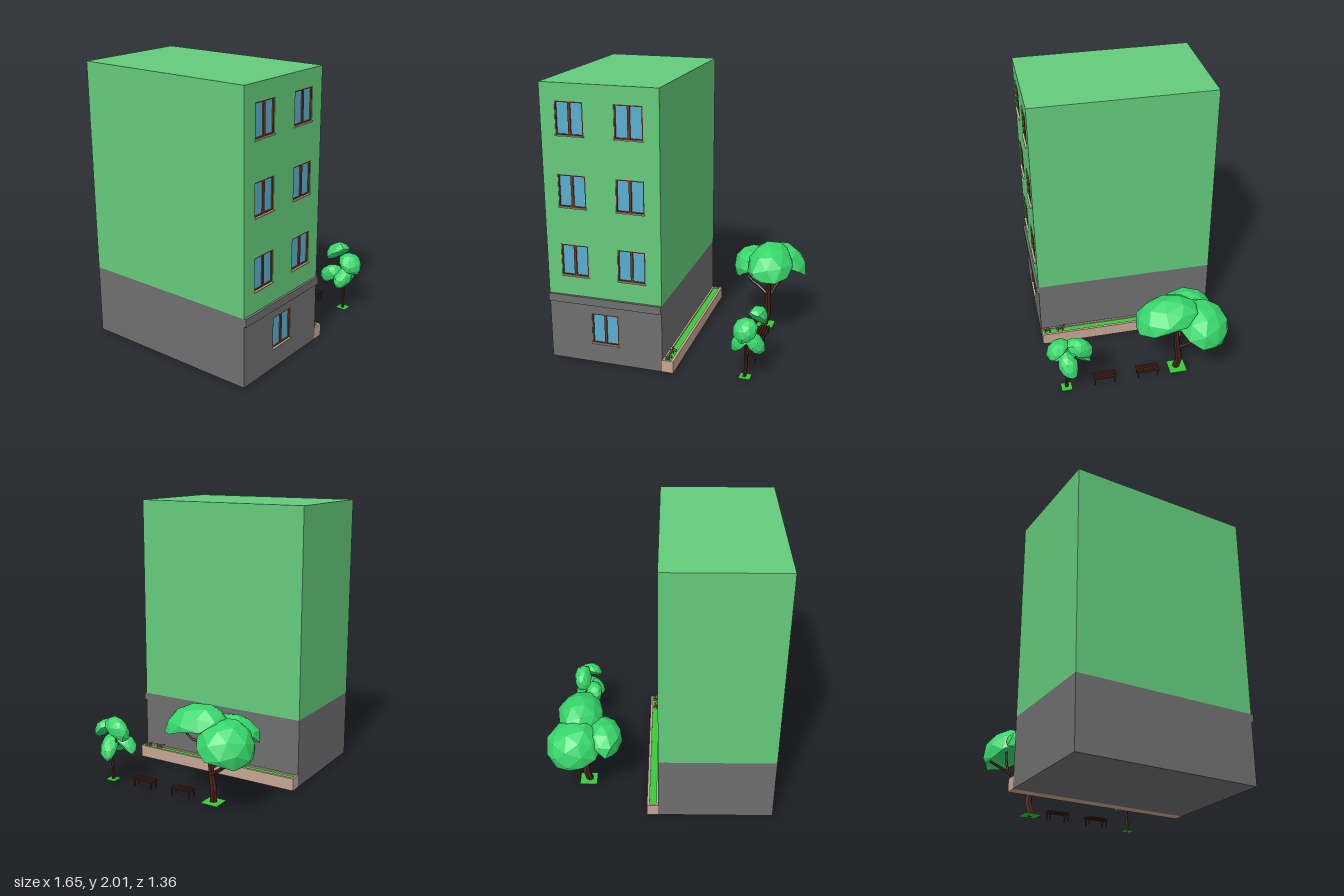
import * as THREE from 'three';

const mat = (color, flat = false) =>
  new THREE.MeshStandardMaterial({ color, flatShading: flat, side: THREE.DoubleSide });
const M = {
  wall: mat(0x64cb7b), base: mat(0x6f6f6f), glass: mat(0x58aed0), frame: mat(0x7a3417),
  sill: mat(0xc9b49a), stone: mat(0xc8a593), grass: mat(0x36cc36), bark: mat(0x4a241b, true),
  leaf: mat(0x37d76b, true), red: mat(0xd02a3a, true), yellow: mat(0xe0b030, true), blue: mat(0x4050d0, true),
  stem: mat(0x2f7a35, true),
};

function add(parent, name, geo, material, x = 0, y = 0, z = 0) {
  const m = new THREE.Mesh(geo, material);
  m.name = name;
  m.position.set(x, y, z);
  parent.add(m);
  return m;
}
// Box given by its min and max corners
function box(parent, name, material, a, b) {
  return add(parent, name, new THREE.BoxGeometry(b[0] - a[0], b[1] - a[1], b[2] - a[2]), material,
    (a[0] + b[0]) / 2, (a[1] + b[1]) / 2, (a[2] + b[2]) / 2);
}
function rect(path, x0, y0, x1, y1) {
  path.moveTo(x0, y0); path.lineTo(x1, y0); path.lineTo(x1, y1); path.lineTo(x0, y1); path.closePath();
  return path;
}

const L = -0.835, R = 0, BACK = -0.685, FRONT = 0.645, DEPTH = 0.02;
const WIN_W = 0.2, WIN_H = 0.23;

// Front wall with window openings
function facade(parent, name, material, y0, y1, windows) {
  const shape = rect(new THREE.Shape(), L, y0, R, y1);
  for (const [x, y] of windows) shape.holes.push(rect(new THREE.Path(), x, y, x + WIN_W, y + WIN_H));
  add(parent, name, new THREE.ExtrudeGeometry(shape, { depth: DEPTH, bevelEnabled: false }), material, 0, 0, FRONT - DEPTH);
}

function makeWindow(x, y) {
  const g = new THREE.Group();
  g.name = 'window';
  const t = 0.009, z0 = FRONT - DEPTH, z1 = FRONT - 0.004, mid = WIN_W / 2;
  box(g, 'glass', M.glass, [0, 0, z0], [WIN_W, WIN_H, z0 + 0.007]);
  for (const [a, b] of [[0, t], [mid - t, mid + t], [WIN_W - t, WIN_W]])
    box(g, 'frameUpright', M.frame, [a, 0, z0], [b, WIN_H, z1]);
  for (const a of [0, WIN_H - t]) box(g, 'frameRail', M.frame, [0, a, z0], [WIN_W, a + t, z1]);
  box(g, 'sill', M.sill, [-0.003, -0.006, z0], [WIN_W + 0.003, 0.002, FRONT + 0.01]);
  g.position.set(x, y, 0);
  return g;
}

// Tapered limb through points
function limb(parent, name, points, r0, r1) {
  const curve = new THREE.CatmullRomCurve3(points.map(p => new THREE.Vector3(...p)));
  const seg = 6, sides = 6;
  const geo = new THREE.TubeGeometry(curve, seg, 1, sides);
  const p = geo.attributes.position, v = new THREE.Vector3();
  for (let i = 0; i < p.count; i++) {
    const t = Math.floor(i / (sides + 1)) / seg;
    const c = curve.getPointAt(t);
    v.fromBufferAttribute(p, i).sub(c).multiplyScalar(r0 + (r1 - r0) * t).add(c);
    p.setXYZ(i, v.x, v.y, v.z);
  }
  add(parent, name, geo, M.bark);
}

// Faceted leaf canopy with its underside pushed up
function canopy(parent, centre, size, rot, under) {
  const geo = new THREE.IcosahedronGeometry(1, 1);
  geo.rotateY(centre[0] * 9);
  const p = geo.attributes.position;
  for (let i = 0; i < p.count; i++) {
    const x = p.getX(i), y = p.getY(i), z = p.getZ(i);
    const k = 1 + 0.05 * Math.sin(5 * x + 3 * z + centre[2] * 20);
    p.setXYZ(i, x * k, (y < 0 ? y * under : y) - 0.4, z * k);
  }
  geo.scale(...size);
  geo.computeVertexNormals();
  add(parent, 'canopy', geo, M.leaf, ...centre).rotation.set(...rot);
}

function group(parent, name) {
  const g = new THREE.Group();
  g.name = name;
  parent.add(g);
  return g;
}

export function createModel() {
  const model = new THREE.Group();
  model.name = 'buildingWithGarden';

  // Building
  const house = group(model, 'building');
  const low = [[-0.518, 0.15]], high = [];
  for (const y of [0.65, 1.15, 1.65]) for (const x of [-0.728, -0.312]) high.push([x, y]);
  box(house, 'groundFloor', M.base, [L, 0, BACK], [R, 0.5, FRONT - DEPTH]);
  box(house, 'upperFloors', M.wall, [L, 0.5, BACK], [R, 2, FRONT - DEPTH]);
  facade(house, 'groundFacade', M.base, 0, 0.5, low);
  facade(house, 'upperFacade', M.wall, 0.5, 2, high);
  box(house, 'cornice', M.base, [L, 0.445, FRONT], [R, 0.502, FRONT + 0.018]);
  for (const [x, y] of [...low, ...high]) house.add(makeWindow(x, y));

  // Planter along the side wall
  const planter = group(model, 'planter');
  const rim = rect(new THREE.Shape(), 0, BACK, 0.08, FRONT);
  rim.holes.push(rect(new THREE.Path(), 0.013, BACK + 0.015, 0.061, FRONT - 0.015));
  const rimGeo = new THREE.ExtrudeGeometry(rim, { depth: 0.09, bevelEnabled: false });
  rimGeo.rotateX(Math.PI / 2).scale(1, 1, 1);
  add(planter, 'planterWalls', rimGeo, M.stone, 0, 0.09, 0);
  box(planter, 'planterBottom', M.stone, [0.01, 0, BACK + 0.01], [0.065, 0.02, FRONT - 0.01]);
  box(planter, 'planterGrass', M.grass, [0.01, 0.02, BACK + 0.01], [0.065, 0.08, FRONT - 0.01]);

  // Flowers
  const heads = [M.red, M.yellow, M.red, M.blue, M.red];
  for (const [cz, n] of [[0.5, 8], [0.6, 7]]) {
    for (let i = 0; i < n; i++) {
      const a = i * 2.4, r = 0.009 * Math.sqrt(i);
      const x = 0.033 + r * Math.cos(a), z = cz + 1.4 * r * Math.sin(a), h = 0.02 + 0.004 * (i % 4);
      add(planter, 'flowerStem', new THREE.CylinderGeometry(0.0015, 0.0015, h, 4), M.stem, x, 0.08 + h / 2, z);
      add(planter, 'flowerLeaf', new THREE.ConeGeometry(0.007, 0.008, 4), M.stem, x, 0.09, z);
      add(planter, 'flowerHead', new THREE.ConeGeometry(0.009, 0.005, 5), heads[i % 5], x, 0.08 + h, z);
    }
  }

  // Benches
  for (const z of [0.255, -0.07]) {
    const bench = group(model, 'bench');
    for (let i = 0; i < 4; i++)
      box(bench, 'slat', M.bark, [0.527 + i * 0.0195, 0.055, z - 0.085], [0.541 + i * 0.0195, 0.063, z + 0.085]);
    for (const s of [-1, 1]) {
      const c = z + s * 0.073;
      box(bench, 'crossbar', M.bark, [0.53, 0.048, c - 0.004], [0.597, 0.055, c + 0.004]);
      for (const x of [0.536, 0.591])
        box(bench, 'leg', M.bark, [x - 0.004, 0, c - 0.004], [x + 0.004, 0.05, c + 0.004]);
    }
  }

  // Large tree
  const big = group(model, 'largeTree');
  box(big, 'grassPatch', M.grass, [0.47, 0, -0.37], [0.6, 0.004, -0.24]);
  limb(big, 'trunk', [[0.525, 0, -0.3], [0.55, 0.1, -0.318], [0.55, 0.21, -0.3], [0.555, 0.4, -0.285], [0.56, 0.6, -0.275]], 0.028, 0.011);
  limb(big, 'branch', [[0.553, 0.4, -0.285], [0.56, 0.43, -0.2], [0.565, 0.45, -0.125], [0.57, 0.56, -0.1]], 0.011, 0.007);
  limb(big, 'branch', [[0.55, 0.21, -0.3], [0.58, 0.27, -0.39], [0.62, 0.33, -0.47], [0.66, 0.4, -0.59]], 0.016, 0.008);
  limb(big, 'branch', [[0.62, 0.32, -0.455], [0.625, 0.4, -0.47], [0.63, 0.52, -0.475]], 0.01, 0.007);
  limb(big, 'branch', [[0.552, 0.25, -0.3], [0.47, 0.3, -0.34], [0.38, 0.35, -0.37], [0.34, 0.47, -0.39]], 0.014, 0.007);
  canopy(big, [0.575, 0.6, -0.195], [0.175, 0.17, 0.245], [0.2, 0, 0], -0.3);
  canopy(big, [0.625, 0.51, -0.485], [0.21, 0.19, 0.2], [-0.45, 0, -0.25], -0.25);
  canopy(big, [0.38, 0.51, -0.385], [0.145, 0.16, 0.195], [0, 0, 0.55], -0.25);

  // Small tree
  const small = group(model, 'smallTree');
  box(small, 'grassPatch', M.grass, [0.53, 0, 0.5], [0.61, 0.004, 0.58]);
  limb(small, 'trunk', [[0.565, 0, 0.54], [0.575, 0.1, 0.535], [0.57, 0.2, 0.54], [0.575, 0.34, 0.52]], 0.013, 0.007);
  for (const end of [[0.63, 0.43, 0.44], [0.54, 0.31, 0.44], [0.56, 0.38, 0.6], [0.62, 0.3, 0.55]])
    limb(small, 'branch', [[0.572, 0.22, 0.535], [(0.572 + end[0]) / 2, 0.28, (0.535 + end[2]) / 2], end], 0.007, 0.004);
  canopy(small, [0.635, 0.44, 0.425], [0.07, 0.09, 0.11], [-0.65, 0, -0.3], 0.2);
  canopy(small, [0.53, 0.29, 0.43], [0.065, 0.085, 0.1], [-0.6, 0, 0.6], 0.2);
  canopy(small, [0.57, 0.4, 0.605], [0.09, 0.08, 0.095], [0.7, 0, 0.2], 0.2);
  canopy(small, [0.635, 0.28, 0.53], [0.11, 0.07, 0.07], [0.3, 0, -0.9], 0.2);
  canopy(small, [0.525, 0.28, 0.55], [0.095, 0.07, 0.065], [0.3, 0, 0.8], 0.2);

  return model;
}
